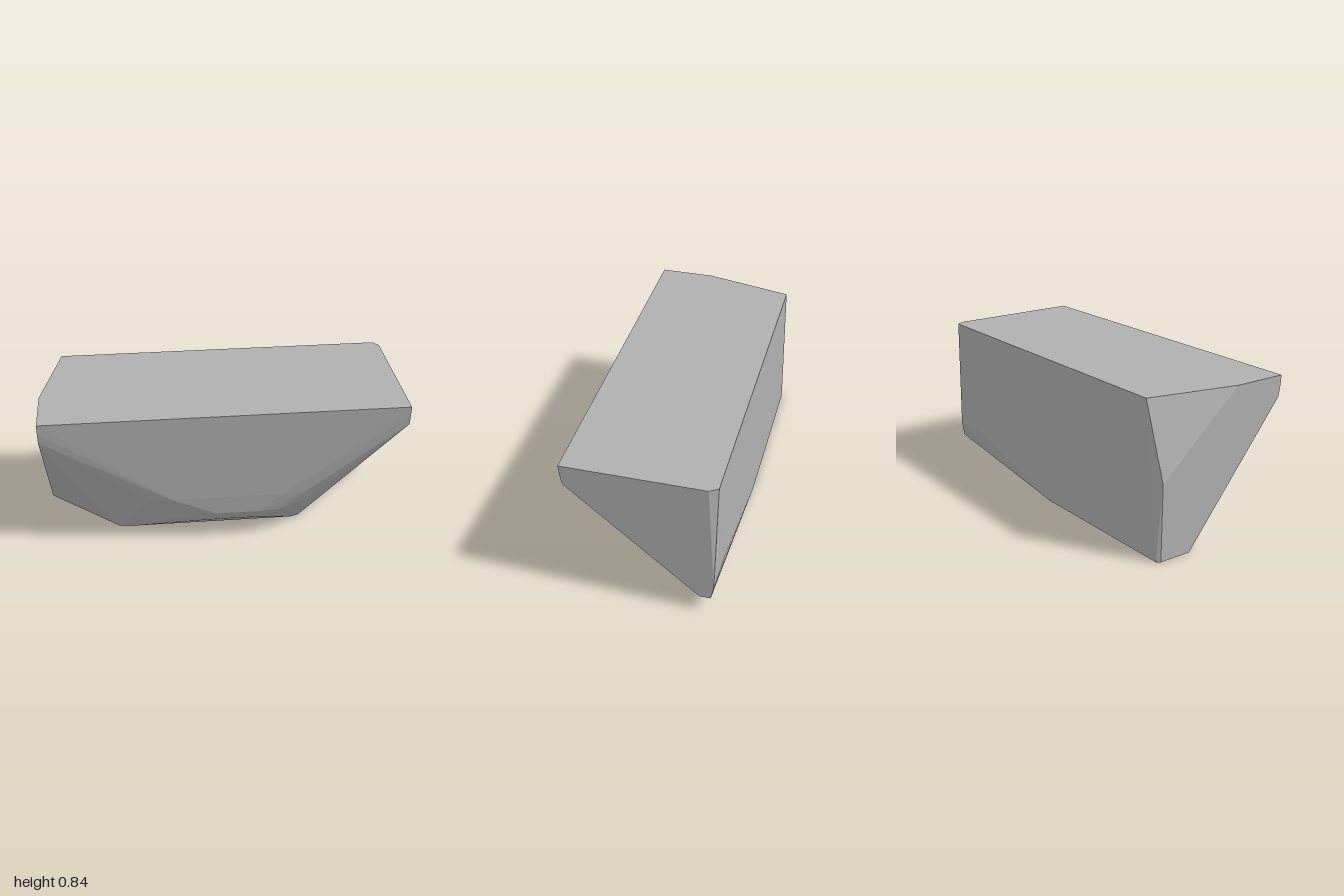
import * as THREE from 'three';
import { ConvexGeometry } from 'three/addons/geometries/ConvexGeometry.js';

const stone = new THREE.MeshStandardMaterial({ color: 0xb0b0b0 });
stone.name = 'stone grey';

// Corner points of the faceted block, grouped by region
const corners = {
  flatTop: [
    [-1, 0.84, 0.405], [1, 0.84, 0.405], [1, 0.84, -0.36],
    [0.97, 0.84, -0.405], [-0.89, 0.84, -0.405], [-1, 0.84, 0.1],
  ],
  rightEnd: [
    [-1, 0.785, 0.4], [-1, 0.725, 0.39], [-1, 0.42, -0.38],
    [-1, 0, -0.385], [-1, 0, -0.2],
  ],
  leftEnd: [
    [1, 0.785, 0.4], [1, 0.725, 0.39], [1, 0.1, -0.32],
    [1, 0.1, -0.38], [1, 0.18, -0.395],
  ],
  back: [[0.79, 0.21, -0.405], [-0.03, 0, -0.405], [-0.985, 0, -0.405]],
  // Chipped belly, sloping in towards the base
  frontChips: [
    [-0.42, 0.3, 0.35], [-0.3, 0.3, 0.366], [0.32, 0.3, 0.366], [0.45, 0.3, 0.355],
    [-0.05, 0.18, 0.35], [0.2, 0.18, 0.35], [0.31, 0.175, 0.335], [0.45, 0.21, 0.305],
    [-0.05, 0.105, 0.297], [0.2, 0.105, 0.297],
  ],
  base: [[-0.6, 0, 0.16], [-0.52, 0, 0.167], [0.4, 0, 0.167], [0.45, 0, 0.155]],
};

export function createModel() {
  const group = new THREE.Group();
  group.name = 'rock';

  // The hull gives flat facets between the corners
  const points = Object.values(corners).flat().map((p) => new THREE.Vector3(...p));
  const block = new THREE.Mesh(new ConvexGeometry(points), stone);
  block.name = 'stoneBlock';
  group.add(block);

  return group;
}
